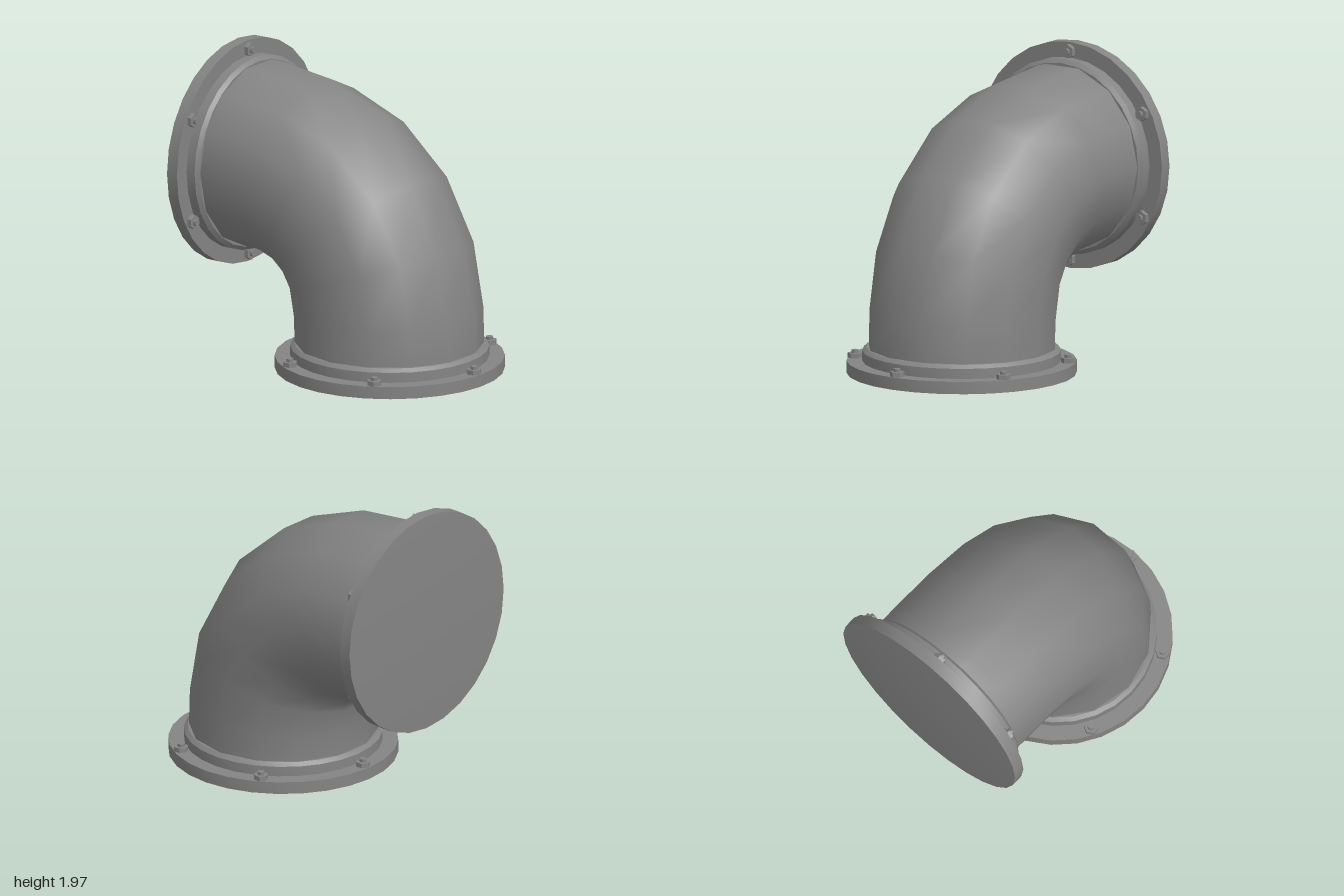
import * as THREE from 'three';
import { toCreasedNormals } from 'three/addons/utils/BufferGeometryUtils.js';

const material = new THREE.MeshStandardMaterial({ color: 0x848484 });

function addMesh(parent, name, geometry) {
  const mesh = new THREE.Mesh(geometry, material);
  mesh.name = name;
  parent.add(mesh);
  return mesh;
}

// Flange plate with raised collar and six bolts; bulge domes the closed face
function createFlange(name, bulge, boltCircle) {
  const flange = new THREE.Group();
  flange.name = name;
  const profile = [
    [0, -bulge], [0.735, 0], [0.735, 0.08], [0.635, 0.08],
    [0.635, 0.145], [0.61, 0.167], [0.57, 0.167],
  ].map(([r, y]) => new THREE.Vector2(r, y));
  addMesh(flange, 'flangePlate', toCreasedNormals(new THREE.LatheGeometry(profile, 28), 0.5));

  for (let i = 0; i < 6; i++) {
    const angle = (i * Math.PI) / 3;
    const bolt = new THREE.Group();
    bolt.name = 'bolt';
    bolt.position.set(boltCircle * Math.sin(angle), 0.08, boltCircle * Math.cos(angle));
    const nut = addMesh(bolt, 'nut',
      toCreasedNormals(new THREE.CylinderGeometry(0.047, 0.047, 0.03, 6), 0.5));
    nut.position.y = 0.015;
    const stud = addMesh(bolt, 'stud',
      toCreasedNormals(new THREE.CylinderGeometry(0.023, 0.023, 0.05, 10), 0.8));
    stud.position.y = 0.025;
    flange.add(bolt);
  }
  return flange;
}

// Pipe bend: each ring is [outer z, outer y, tilt in degrees]
function createPipeGeometry() {
  const sides = 14, radius = 0.605, halfDepth = 0.59;
  const rings = [
    [0.85, 0.1, 0], [0.85, 0.17, 0], [0.842, 0.41, 4], [0.757, 0.85, 18.2],
    [0.52, 1.28, 38.5], [0.136, 1.61, 60], [-0.307, 1.775, 79],
    [-0.71, 1.82, 89.5], [-0.86, 1.82, 90],
  ];
  const positions = [], indices = [];
  rings.forEach(([z, y, tilt], i) => {
    const t = THREE.MathUtils.degToRad(tilt);
    for (let k = 0; k < sides; k++) {
      const a = (k / sides) * Math.PI * 2;
      const d = radius * Math.sin(a) - halfDepth;
      positions.push(radius * Math.cos(a), y + d * Math.sin(t), z + d * Math.cos(t));
      if (i === rings.length - 1) continue;
      const p = i * sides + k, q = i * sides + ((k + 1) % sides);
      indices.push(p, p + sides, q, q, p + sides, q + sides);
    }
  });
  const geometry = new THREE.BufferGeometry();
  geometry.setAttribute('position', new THREE.Float32BufferAttribute(positions, 3));
  geometry.setIndex(indices);
  geometry.computeVertexNormals();
  return geometry;
}

export function createModel() {
  const model = new THREE.Group();
  model.name = 'pipeElbow';
  addMesh(model, 'pipeBend', createPipeGeometry());

  const base = createFlange('baseFlange', 0, 0.685);
  base.position.set(0, 0, 0.263);
  model.add(base);

  // Rear flange stands upright, its bolts facing the front
  const rear = createFlange('rearFlange', 0.033, 0.675);
  rear.position.set(0, 1.23, -0.967);
  rear.rotation.x = Math.PI / 2;
  model.add(rear);
  return model;
}
